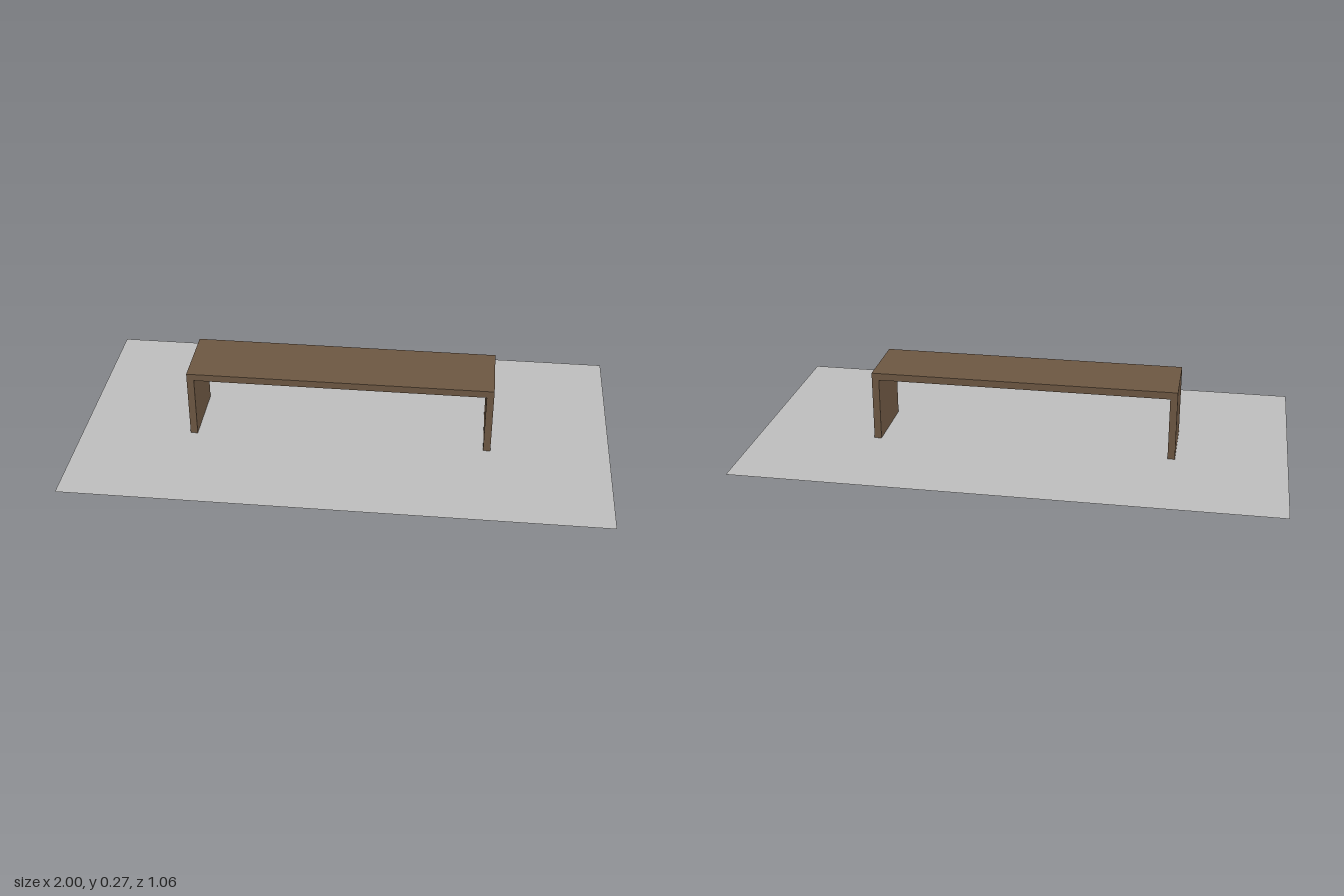
import * as THREE from 'three';

export function createModel() {
  const model = new THREE.Group();

  const wood = new THREE.MeshStandardMaterial({ color: 0x6e5843 });
  wood.name = 'brown wood';
  const paving = new THREE.MeshStandardMaterial({ color: 0xbfbfbf, side: THREE.DoubleSide });
  paving.name = 'grey paving';

  // Flat base sheet
  const base = new THREE.Mesh(new THREE.PlaneGeometry(2, 1.064).rotateX(-Math.PI / 2), paving);
  base.name = 'base';
  model.add(base);

  // Bench: two slab legs and a seat as one folded board
  const left = 0.556, right = -0.588, height = 0.266, thick = 0.027;
  const back = -0.137, depth = 0.255;
  const profile = new THREE.Shape([
    [right, 0], [right + thick, 0], [right + thick, height - thick],
    [left - thick, height - thick], [left - thick, 0], [left, 0],
    [left, height], [right, height],
  ].map(([x, y]) => new THREE.Vector2(x, y)));
  const bench = new THREE.Mesh(
    new THREE.ExtrudeGeometry(profile, { depth, bevelEnabled: false }), wood);
  bench.name = 'bench';
  bench.position.z = back;
  model.add(bench);

  return model;
}
